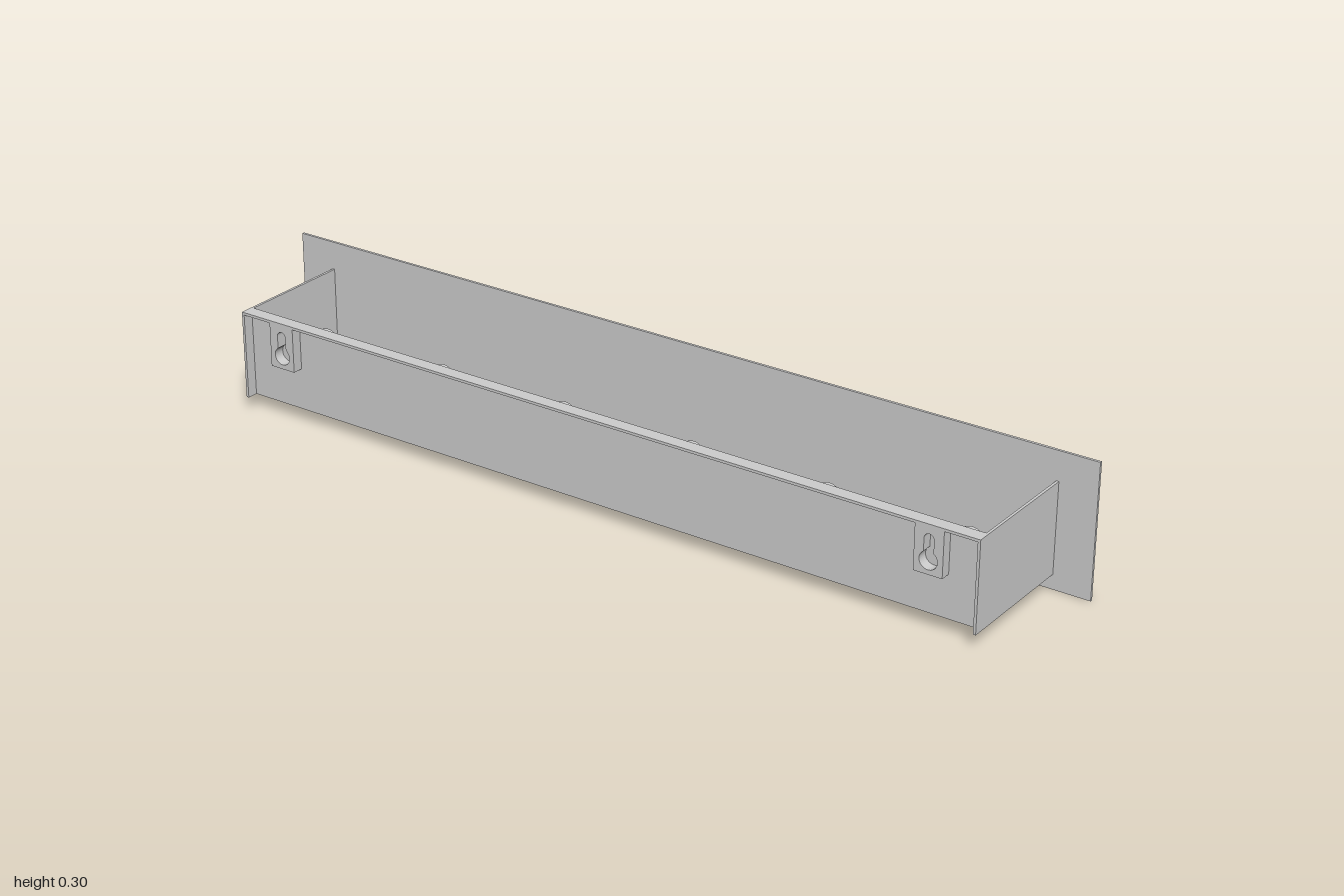
import * as THREE from 'three';

export function createModel() {
  const group = new THREE.Group();
  const material = new THREE.MeshStandardMaterial({ color: 0xcccccc, side: THREE.DoubleSide });

  // Box given by its lower and upper corners
  const box = (name, [x0, y0, z0], [x1, y1, z1]) => {
    const mesh = new THREE.Mesh(new THREE.BoxGeometry(x1 - x0, y1 - y0, z1 - z0), material);
    mesh.position.set((x0 + x1) / 2, (y0 + y1) / 2, (z0 + z1) / 2);
    mesh.name = name;
    group.add(mesh);
  };

  const T = 0.006, W = 0.915, BOTTOM = 0.033, TOP = 0.235, FRONT = 0.153, RECESS = 0.122;

  // Wide panel and the shallow open frame joined to it
  box('widePanel', [-1, 0, -FRONT], [1, 0.3, -FRONT + T]);
  box('leftSide', [W - T, BOTTOM, -FRONT + T], [W, TOP, FRONT]);
  box('rightSide', [-W, BOTTOM, -FRONT + T], [-W + T, TOP, FRONT]);
  box('mountingPanel', [-W + T, BOTTOM, RECESS], [W - T, TOP, RECESS + T]);
  box('topLip', [-W + T, TOP - T, RECESS], [W - T, TOP, FRONT]);

  // Hanger plates with keyhole slots
  const plate = new THREE.Shape();
  plate.moveTo(-0.032, 0.128).lineTo(0.032, 0.128).lineTo(0.032, TOP - T).lineTo(-0.032, TOP - T).closePath();
  const keyhole = new THREE.Path();
  const bulb = 0.02, slot = 0.011, neck = Math.acos(slot / bulb);
  keyhole.absarc(0, 0.158, bulb, Math.PI - neck, 2 * Math.PI + neck, false);
  keyhole.absarc(0, 0.203, slot, 0, Math.PI, false);
  keyhole.closePath();
  plate.holes.push(keyhole);
  const plateGeometry = new THREE.ExtrudeGeometry(plate, {
    depth: FRONT - RECESS - T - 0.001, bevelEnabled: false, curveSegments: 16,
  });
  for (const side of [-1, 1]) {
    const mesh = new THREE.Mesh(plateGeometry, material);
    mesh.position.set(side * 0.805, 0, RECESS + T);
    mesh.name = side > 0 ? 'leftHangerPlate' : 'rightHangerPlate';
    group.add(mesh);
  }

  // Row of headed pegs pointing back from the mounting panel
  const cylinder = (name, radius, z0, z1) => {
    const mesh = new THREE.Mesh(new THREE.CylinderGeometry(radius, radius, z1 - z0, 32), material);
    mesh.rotation.x = Math.PI / 2;
    mesh.position.z = (z0 + z1) / 2;
    mesh.name = name;
    return mesh;
  };
  for (let i = 0; i < 6; i++) {
    const peg = new THREE.Group();
    peg.name = 'peg' + (i + 1);
    peg.add(cylinder('pegShaft', 0.025, 0.01, RECESS), cylinder('pegHead', 0.032, -0.005, 0.011));
    peg.position.set((i - 2.5) * 0.324, 0.134, 0);
    group.add(peg);
  }

  return group;
}
